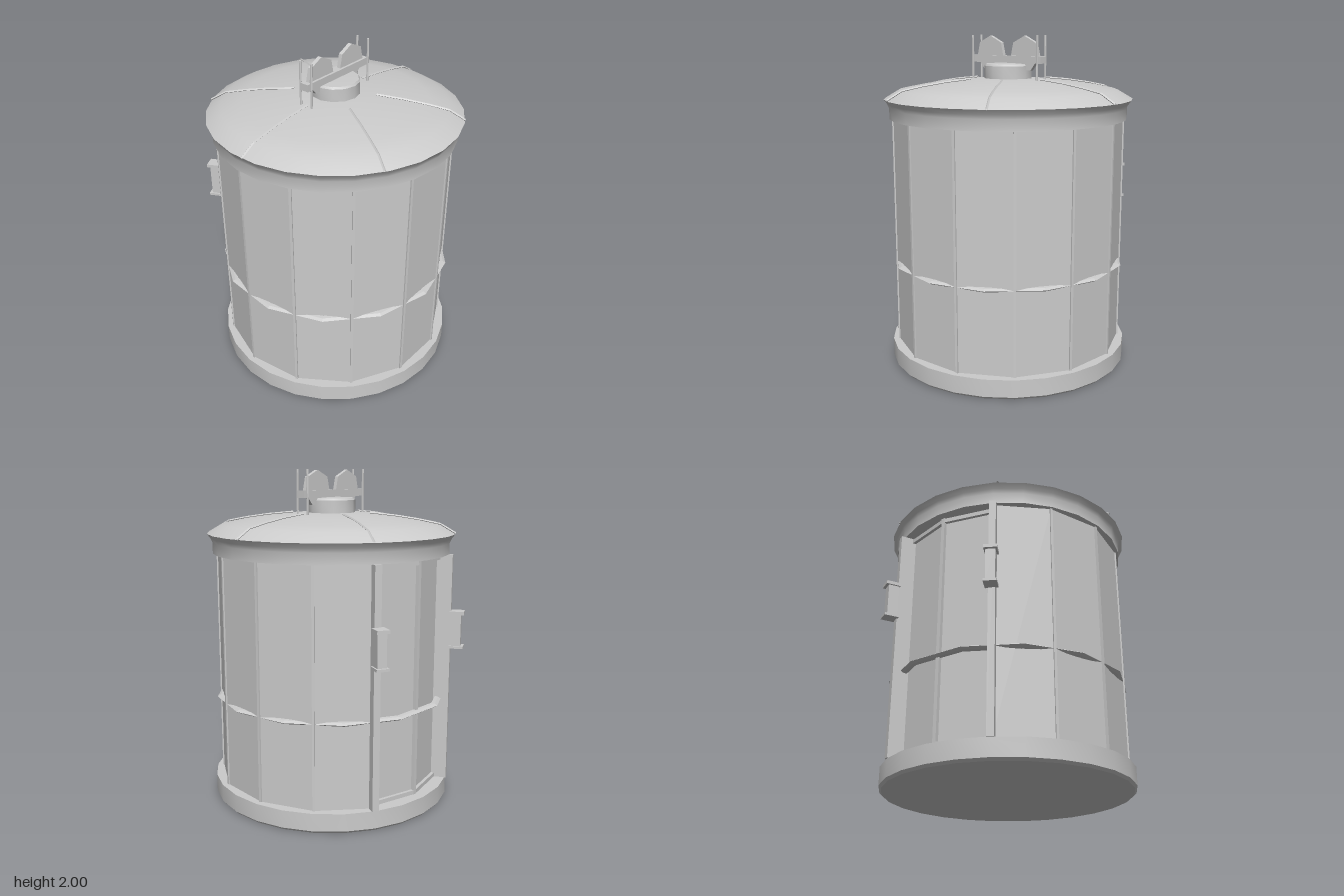
import * as THREE from 'three';
import { toCreasedNormals } from 'three/addons/utils/BufferGeometryUtils.js';

const smooth = new THREE.MeshStandardMaterial({ color: 0xcccccc, side: THREE.DoubleSide });
const flat = new THREE.MeshStandardMaterial({ color: 0xcccccc, side: THREE.DoubleSide, flatShading: true });
const SIDES = 13;
const STEP = (Math.PI * 2) / SIDES;
const DOOR = STEP * 5.5; // angle of the door posts, measured from the front

export function createModel() {
  const model = new THREE.Group();

  const add = (name, geometry, material = flat, parent = model) => {
    const mesh = new THREE.Mesh(geometry, material);
    mesh.name = name;
    parent.add(mesh);
    return mesh;
  };
  const lathe = (name, points, segments) => {
    const profile = points.map(([r, y]) => new THREE.Vector2(r, y));
    return add(name, toCreasedNormals(new THREE.LatheGeometry(profile, segments), 0.55), smooth);
  };
  // Group turned so that its +z points outward at the given angle
  const spoke = (name, angle) => {
    const group = new THREE.Group();
    group.name = name;
    group.rotation.y = angle;
    model.add(group);
    return group;
  };
  // Box spanning radii r0..r1 and heights y0..y1 on a spoke
  const radialBox = (name, parent, width, y0, y1, r0, r1) => {
    const mesh = add(name, new THREE.BoxGeometry(width, y1 - y0, r1 - r0), flat, parent);
    mesh.position.set(0, (y0 + y1) / 2, (r0 + r1) / 2);
  };

  // Base slab with a small lower bevel
  lathe('base', [[0, 0], [0.722, 0], [0.736, 0.015], [0.736, 0.12], [0, 0.12]], SIDES * 2);

  // Wall panels and recessed double door
  const wall = add('wall', new THREE.CylinderGeometry(0.697, 0.697, 1.41, 11, 1, true, -DOOR, DOOR * 2));
  wall.position.y = 0.81;
  const door = add('door', new THREE.CylinderGeometry(0.655, 0.655, 1.41, 2, 1, true, DOOR, STEP * 2));
  door.position.y = 0.81;

  // Wall ribs on every panel joint, plus the one between the doors
  for (let i = -4.5; i <= 4.5; i++) {
    radialBox('wallRib', spoke('wallRibMount', i * STEP), 0.015, 0.12, 1.51, 0.68, 0.704);
  }
  radialBox('doorRib', spoke('doorRibMount', Math.PI), 0.022, 0.12, 1.51, 0.64, 0.673);

  // Door posts with handles, sill and lintel
  for (const side of [-1, 1]) {
    const post = spoke('doorPost', side * DOOR);
    radialBox('postBeam', post, 0.04, 0.12, 1.51, 0.64, 0.742);
    radialBox('handleBody', post, 0.055, 0.96, 1.16, 0.74, 0.803);
    radialBox('handleTopPlate', post, 0.075, 1.155, 1.175, 0.735, 0.82);
    radialBox('handleBottomPlate', post, 0.075, 0.95, 0.965, 0.735, 0.82);
    const leaf = spoke('doorFrame', side * STEP * 6);
    radialBox('sill', leaf, 0.31, 0.12, 0.145, 0.625, 0.655);
    radialBox('lintel', leaf, 0.31, 1.48, 1.505, 0.625, 0.655);
  }

  // Pointed belt around the wall
  const belt = [[0.68, 0.643], [0.7, 0.64], [0.717, 0.63], [0.7, 0.62], [0.68, 0.617], [0.68, 0.643]];
  add('belt', new THREE.LatheGeometry(belt.map(([r, y]) => new THREE.Vector2(r, y)), SIDES));

  // Flared eave and shallow domed roof
  lathe('eave', [[0, 1.51], [0.719, 1.51], [0.719, 1.575], [0.73, 1.6], [0.75, 1.627]], SIDES * 2);
  const roofLine = [[0.75, 1.627], [0.66, 1.68], [0.54, 1.704], [0.4, 1.725], [0.24, 1.741], [0, 1.752]];
  lathe('roof', roofLine, SIDES * 2);

  // Six thin roof seams
  const seamLine = new THREE.CurvePath();
  for (let i = 0; i < 4; i++) {
    const [a, b] = [roofLine[i], roofLine[i + 1]].map(([r, y]) => new THREE.Vector3(0, y + 0.003, r));
    seamLine.add(new THREE.LineCurve3(a, b));
  }
  const seam = new THREE.TubeGeometry(seamLine, 20, 0.007, 4);
  for (let i = 0; i < 6; i++) {
    add('roofSeam', seam, flat, spoke('roofSeamMount', Math.PI / 6 + (i * Math.PI) / 3));
  }

  // Vent cap in the middle of the roof
  lathe('ventCap', [[0.145, 1.73], [0.145, 1.82], [0.137, 1.832], [0, 1.838]], SIDES);

  // Pulley carrier: beam, two wheels and four upright rods
  const beam = add('pulleyBeam', new THREE.BoxGeometry(0.52, 0.042, 0.054));
  beam.position.y = 1.858;
  for (const side of [-1, 1]) {
    const wheelShape = new THREE.CylinderGeometry(0.106, 0.106, 0.024, 7);
    wheelShape.rotateX(-Math.PI / 2);
    const wheel = add('pulleyWheel', wheelShape);
    wheel.position.set(side * 0.13, 1.89, 0);
    for (const z of [-0.04, 0.04]) {
      const rod = add('pulleyRod', new THREE.CylinderGeometry(0.007, 0.007, 0.265, 6));
      rod.position.set(side * 0.245, 1.8675, z);
    }
  }
  return model;
}
